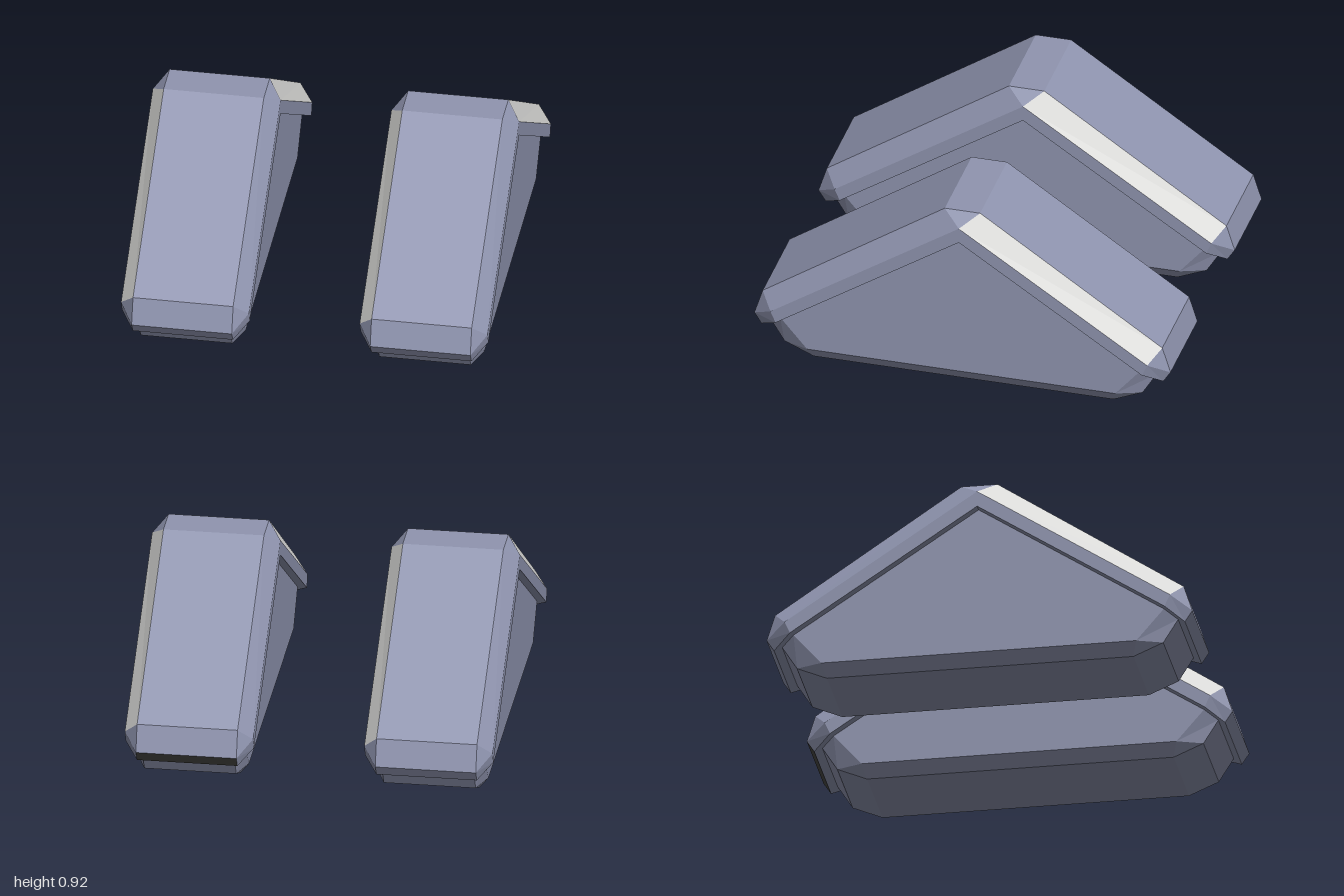
import * as THREE from 'three';

const blue = new THREE.MeshStandardMaterial({ color: 0x9095b0, name: 'slate blue' });
const pale = new THREE.MeshStandardMaterial({ color: 0xdadad8, name: 'pale grey' });
const dark = new THREE.MeshStandardMaterial({ color: 0x484844, name: 'dark grey' });

// Corner points of one quarter (x >= 0, z >= 0) of the roof-shaped cap
const h = 0.235, w = 0.3;
const C = {
  peakMid: [0, 0.92, 0], ridgeMid: [0, 0.92, 0.085], toeMid: [0, 0.33, 0.96],
  tipMid: [0, 0.204, 1], lipMid: [0, 0.15, 0.965], underMid: [0, 0.785, 0],
  peak: [h, 0.92, 0], ridge: [h, 0.92, 0.085], toe: [h, 0.33, 0.96],
  tip: [h, 0.204, 1], lip: [h, 0.15, 0.965],
  apex: [w, 0.86, 0], shoulder: [w, 0.263, 0.905], rim: [w, 0.206, 0.88], under: [w, 0.785, 0],
};
const capFaces = {
  shell: [
    [C.peakMid, C.ridgeMid, C.ridge, C.peak],
    [C.peak, C.ridge, C.apex],
    [C.ridgeMid, C.toeMid, C.toe, C.ridge],
    [C.toeMid, C.tipMid, C.tip, C.toe],
    [C.toe, C.tip, C.shoulder],
    [C.tip, C.lip, C.rim, C.shoulder],
    [C.apex, C.shoulder, C.rim, C.under],
    [C.underMid, C.under, C.rim, C.lip, C.lipMid],
  ],
  bevel: [[C.ridge, C.toe, C.shoulder, C.apex]],
  lipEnd: [[C.tipMid, C.lipMid, C.lip, C.tip]],
};

// Corner points of one quarter of the lower block
const c = 0.215, b = 0.258;
const B = {
  topMid: [0, 0.173, 0.93], kneeMid: [0, 0.06, 0.86], soleMid: [0, 0, 0.72], centre: [0, 0, 0],
  top: [c, 0.173, 0.93], knee: [c, 0.06, 0.86], sole: [c, 0, 0.72], soleSide: [c, 0, 0],
  peak: [b, 0.785, 0], shoulder: [b, 0.212, 0.87], heel: [b, 0.06, 0.74], side: [b, 0.06, 0],
};
const bodyFaces = [
  [B.peak, B.shoulder, B.heel, B.side],
  [B.shoulder, B.top, B.knee, B.heel],
  [B.topMid, B.kneeMid, B.knee, B.top],
  [B.kneeMid, B.soleMid, B.sole, B.knee],
  [B.knee, B.sole, B.heel],
  [B.side, B.heel, B.sole, B.soleSide],
  [B.centre, B.soleSide, B.sole, B.soleMid],
];

const ALL = [[1, 1], [-1, 1], [1, -1], [-1, -1]];

// Mirrors quarter faces into the given quadrants, keeping them facing outward
function panel(name, faces, quadrants, material) {
  const pos = [];
  for (const [sx, sz] of quadrants) {
    for (const face of faces) {
      const f = sx * sz < 0 ? [...face].reverse() : face;
      for (let i = 1; i < f.length - 1; i++) {
        for (const p of [f[0], f[i], f[i + 1]]) pos.push(p[0] * sx, p[1], p[2] * sz);
      }
    }
  }
  const g = new THREE.BufferGeometry();
  g.setAttribute('position', new THREE.Float32BufferAttribute(pos, 3));
  g.computeVertexNormals();
  const mesh = new THREE.Mesh(g, material);
  mesh.name = name;
  return mesh;
}

function createFoot(name, x, backLip) {
  const foot = new THREE.Group();
  foot.name = name;
  foot.position.x = x;
  foot.add(
    panel('lowerBlock', bodyFaces, ALL, blue),
    panel('cap', capFaces.shell, ALL, blue),
    // Long bevels alternate colour diagonally
    panel('blueBevels', capFaces.bevel, [[1, 1], [-1, -1]], blue),
    panel('paleBevels', capFaces.bevel, [[-1, 1], [1, -1]], pale),
    panel('frontLip', capFaces.lipEnd, [[1, 1], [-1, 1]], blue),
    panel('backLip', capFaces.lipEnd, [[1, -1], [-1, -1]], backLip),
  );
  return foot;
}

export function createModel() {
  const model = new THREE.Group();
  model.name = 'feet';
  model.add(createFoot('leftFoot', 0.56, dark), createFoot('rightFoot', -0.56, blue));
  return model;
}
